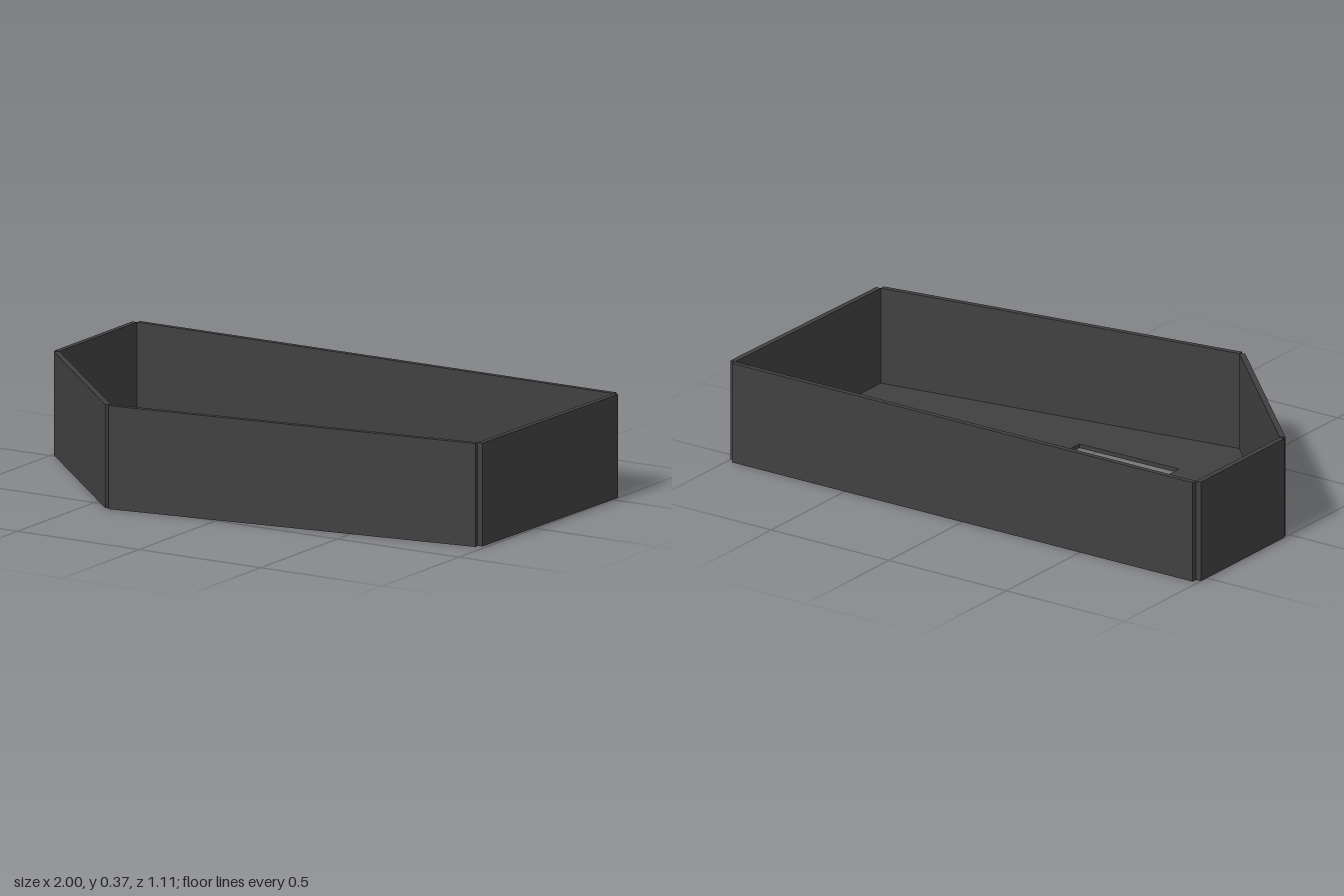
import * as THREE from 'three';

const HEIGHT = 0.37, WALL = 0.02, FLOOR = 0.015;

// Inner floor outline as [x, z], running around the tray
const outline = [
  [-0.98, -0.536], [-0.98, -0.03], [-0.41, 0.535], [0.965, 0.323], [0.98, -0.536],
];
const wallNames = ['rightWall', 'diagonalWall', 'frontWall', 'leftWall', 'backWall'];

// Rectangular cut-outs through the floor
const openings = [
  [[0.42, -0.4], [0.85, -0.4], [0.85, -0.135], [0.42, -0.135]],
  [[-0.35, 0.027], [0.07, 0.032], [0.07, 0.25], [-0.35, 0.257]],
];

const toPoints = (list) => list.map(([x, z]) => new THREE.Vector2(x, -z));

// Upright prism standing on y = 0 from a plan outline
function prism(name, points, height, material, holes = []) {
  const shape = new THREE.Shape(points);
  holes.forEach((h) => shape.holes.push(new THREE.Path(toPoints(h))));
  const geometry = new THREE.ExtrudeGeometry(shape, { depth: height, bevelEnabled: false });
  geometry.rotateX(-Math.PI / 2);
  const mesh = new THREE.Mesh(geometry, material);
  mesh.name = name;
  return mesh;
}

export function createModel() {
  const group = new THREE.Group();
  group.name = 'tray';
  const material = new THREE.MeshStandardMaterial({ color: 0x404040 });

  // Floor plate with two openings
  const corners = toPoints(outline);
  group.add(prism('floor', corners, FLOOR, material, openings));

  // Straight wall panels outside each floor edge, leaving notched corners
  corners.forEach((a, i) => {
    const b = corners[(i + 1) % corners.length];
    const d = b.clone().sub(a).normalize();
    const out = new THREE.Vector2(d.y, -d.x).multiplyScalar(WALL);
    const panel = [a, a.clone().add(out), b.clone().add(out), b];
    group.add(prism(wallNames[i], panel, HEIGHT, material));
  });

  return group;
}
